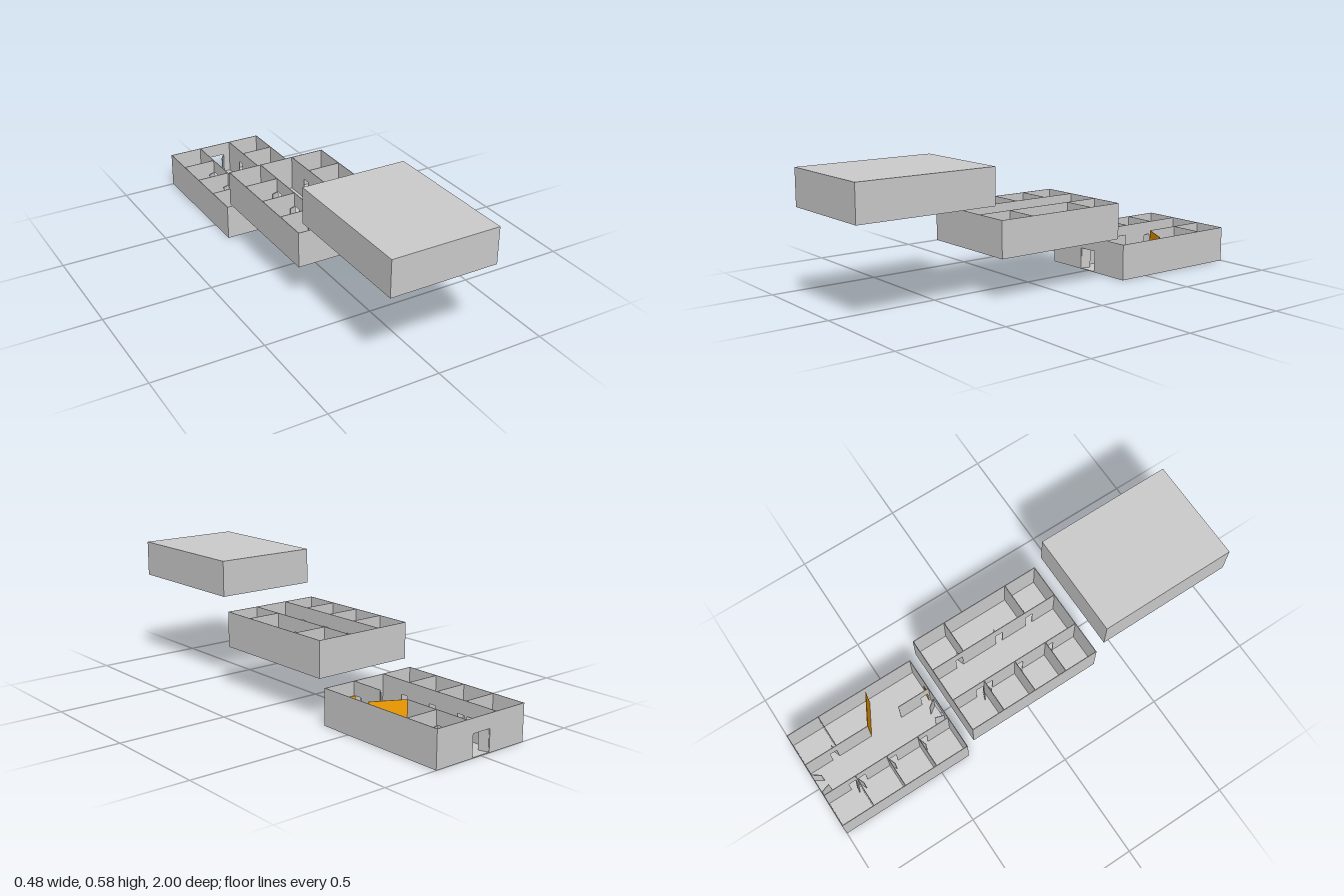
import * as THREE from 'three';

const W = 0.242, D = 0.3225, H = 0.163, T = 0.003;   // half width, half depth, storey height, wall thickness
const CORRIDOR = 0.082, BAY = 0.161, DOOR_H = 0.1, DOOR_W = 0.036;

const grey = new THREE.MeshStandardMaterial({ color: 0xcccccc });
const orange = new THREE.MeshStandardMaterial({ color: 0xffa500 });

// Upright panel from (x0, z0) to (x1, z1); openings are [start, end] distances along it
function panel(parent, name, [x0, z0], [x1, z1], { openings = [], height = H - T, material = grey } = {}) {
  const length = Math.hypot(x1 - x0, z1 - z0);
  const shape = new THREE.Shape().moveTo(0, 0);
  for (const [a, b] of openings) {
    shape.lineTo(a, 0).lineTo(a, DOOR_H - T).lineTo(b, DOOR_H - T).lineTo(b, 0);
  }
  shape.lineTo(length, 0).lineTo(length, height).lineTo(0, height).closePath();
  const geometry = new THREE.ExtrudeGeometry(shape, { depth: T, bevelEnabled: false });
  geometry.translate(0, 0, -T / 2);
  const mesh = new THREE.Mesh(geometry, material);
  mesh.name = name;
  mesh.position.set(x0, T, z0);
  mesh.rotation.y = -Math.atan2(z1 - z0, x1 - x0);
  parent.add(mesh);
}

function leaf(parent, name, from, to, material = grey) {
  panel(parent, name, from, to, { height: DOOR_H - T, material });
}

function slab(parent, name, y) {
  const mesh = new THREE.Mesh(new THREE.BoxGeometry(2 * W, T, 2 * D), grey);
  mesh.name = name;
  mesh.position.y = y;
  parent.add(mesh);
}

// Floor slab and four outer walls, with an optional doorway in both end walls
function shell(name, y, z, endOpenings = []) {
  const storey = new THREE.Group();
  storey.name = name;
  storey.position.set(0, y, z);
  slab(storey, 'floorSlab', T / 2);
  const w = W - T / 2, d = D - T / 2;
  for (const s of [-1, 1]) {
    panel(storey, 'sideWall', [s * w, -D], [s * w, D]);
    panel(storey, 'endWall', [-W, s * d], [W, s * d], { openings: endOpenings });
  }
  return storey;
}

// Corridor wall on one side between z0 and z1; each door is [hinge z, direction along z]
function corridorWall(storey, side, z0, z1, doors, extraOpenings = []) {
  const x = side * CORRIDOR;
  const openings = [...extraOpenings];
  for (const [z, dir] of doors) {
    const hinge = z + dir * 0.006, free = hinge + dir * DOOR_W;
    openings.push([Math.min(hinge, free) - z0, Math.max(hinge, free) - z0]);
    leaf(storey, 'roomDoor', [x, hinge], [x + side * 0.033, hinge + dir * 0.012]);
  }
  openings.sort((a, b) => a[0] - b[0]);
  panel(storey, 'corridorWall', [x, z0], [x, z1], { openings });
}

function partitions(storey, side, positions) {
  for (const z of positions) panel(storey, 'partition', [side * CORRIDOR, z], [side * (W - T), z]);
}

export function createModel() {
  const model = new THREE.Group();
  model.name = 'explodedBuilding';
  const end = D - T;
  const leftDoors = [[-BAY, -1], [-BAY, 1], [0, 1], [BAY, 1]];

  // Ground storey with double entrance doors at both ends
  const ground = shell('groundStorey', 0, -(1 - D), [[W - 0.047, W + 0.047]]);
  for (const s of [-1, 1]) {
    leaf(ground, 'entranceDoor', [-0.046, s * end], [-0.033, s * (end - 0.042)]);
    leaf(ground, 'entranceDoor', [0.046, s * end], [0.02, s * (end - 0.036)]);
  }
  corridorWall(ground, -1, -end, end, leftDoors);
  partitions(ground, -1, [-BAY, 0, BAY]);
  corridorWall(ground, 1, -end, 0, [[-BAY, -1]]);
  corridorWall(ground, 1, BAY, end, [], [[0.114, 0.152]]);
  partitions(ground, 1, [-BAY]);
  panel(ground, 'hallDoor', [CORRIDOR, 0], [0.222, 0.075], { material: orange });
  leaf(ground, 'sideDoor', [CORRIDOR, 0.313], [0.122, 0.316], orange);

  // Middle storey
  const middle = shell('middleStorey', 0.195, 0);
  corridorWall(middle, -1, -end, end, leftDoors);
  partitions(middle, -1, [-BAY, 0, BAY]);
  corridorWall(middle, 1, -end, end, [[-BAY, -1], [0, 1], [BAY, 1]]);
  partitions(middle, 1, [-BAY, BAY]);

  // Top storey, closed by a flat roof
  const top = shell('topStorey', 0.421, 1 - D);
  slab(top, 'roof', H - T / 2);

  model.add(ground, middle, top);
  return model;
}
